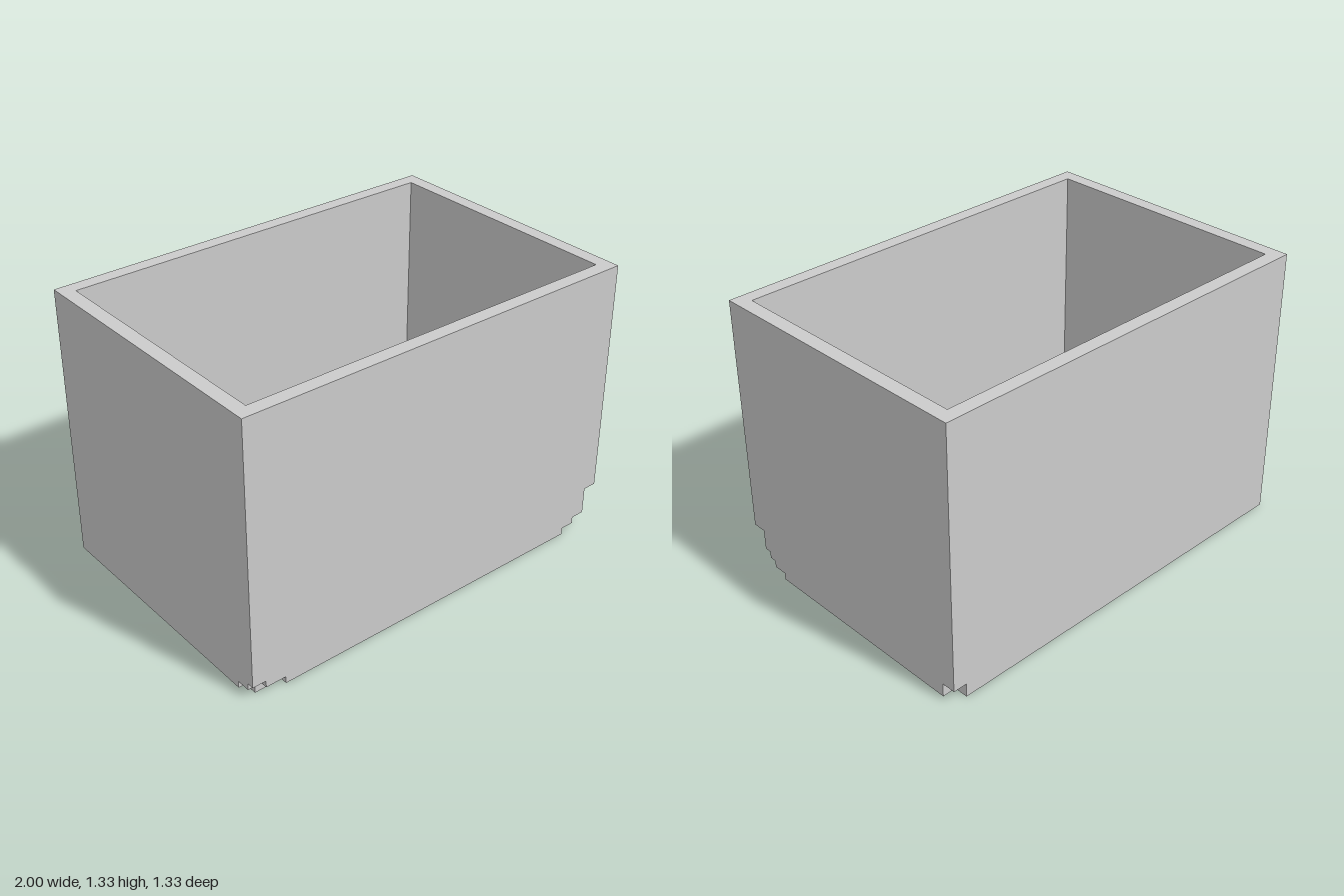
import * as THREE from 'three';

// One grid cell; the box is 60 x 40 x 40 cells
const U = 1 / 30;
const HALF_X = 30, HALF_Z = 20, WALL = 2;

// Stepped outline of a chipped corner. Each step is [distance along x, depth along z].
// Points run from the side face (x = 0) to the front or back face (z = 0).
function chip(steps) {
  if (!steps) return [[0, 0]];
  const points = [];
  let x = 0;
  for (const [end, depth] of steps) {
    points.push([x, depth], [end, depth]);
    x = end;
  }
  points.push([x, 0]);
  return points;
}

// Horizontal slice of the box, with chipped corners and an optional hollow
function slice({ name, from, to, frontLeft, frontRight, backLeft, hollow }, material) {
  const outline = [
    ...chip(frontRight).map(([x, z]) => [-HALF_X + x, -HALF_Z + z]),
    ...chip(frontLeft).reverse().map(([x, z]) => [HALF_X - x, -HALF_Z + z]),
    ...chip(backLeft).map(([x, z]) => [HALF_X - x, HALF_Z - z]),
    [-HALF_X, HALF_Z],
  ];
  const toPoints = (list) => list.map(([x, z]) => new THREE.Vector2(x * U, z * U));
  const shape = new THREE.Shape(toPoints(outline));
  if (hollow) {
    const x = HALF_X - WALL, z = HALF_Z - WALL;
    shape.holes.push(new THREE.Path(toPoints([[-x, -z], [-x, z], [x, z], [x, -z]])));
  }
  const geometry = new THREE.ExtrudeGeometry(shape, { depth: (to - from) * U, bevelEnabled: false });
  geometry.rotateX(-Math.PI / 2);
  const mesh = new THREE.Mesh(geometry, material);
  mesh.name = name;
  mesh.position.y = from * U;
  return mesh;
}

export function createModel() {
  const group = new THREE.Group();
  group.name = 'openBox';
  const material = new THREE.MeshStandardMaterial({ color: 0xcccccc, flatShading: true });

  const slices = [
    // Solid floor, two cells thick
    {
      name: 'floorBottom', from: 0, to: 1,
      frontLeft: [[1, 6], [2, 4], [4, 2], [6, 1]],
      frontRight: [[1, 3], [5, 1]],
      backLeft: [[2, 2]],
    },
    {
      name: 'floorTop', from: 1, to: 2,
      frontLeft: [[1, 4], [2, 2], [4, 1]],
      frontRight: [[2, 1]],
      backLeft: [[2, 2]],
    },
    // Walls around the hollow
    { name: 'wallBase', from: 2, to: 3, frontLeft: [[1, 3], [2, 1]], hollow: true },
    { name: 'wallLower', from: 3, to: 6, frontLeft: [[1, 2], [2, 1]], hollow: true },
    { name: 'wallUpper', from: 6, to: 40, hollow: true },
  ];
  for (const s of slices) group.add(slice(s, material));

  return group;
}
